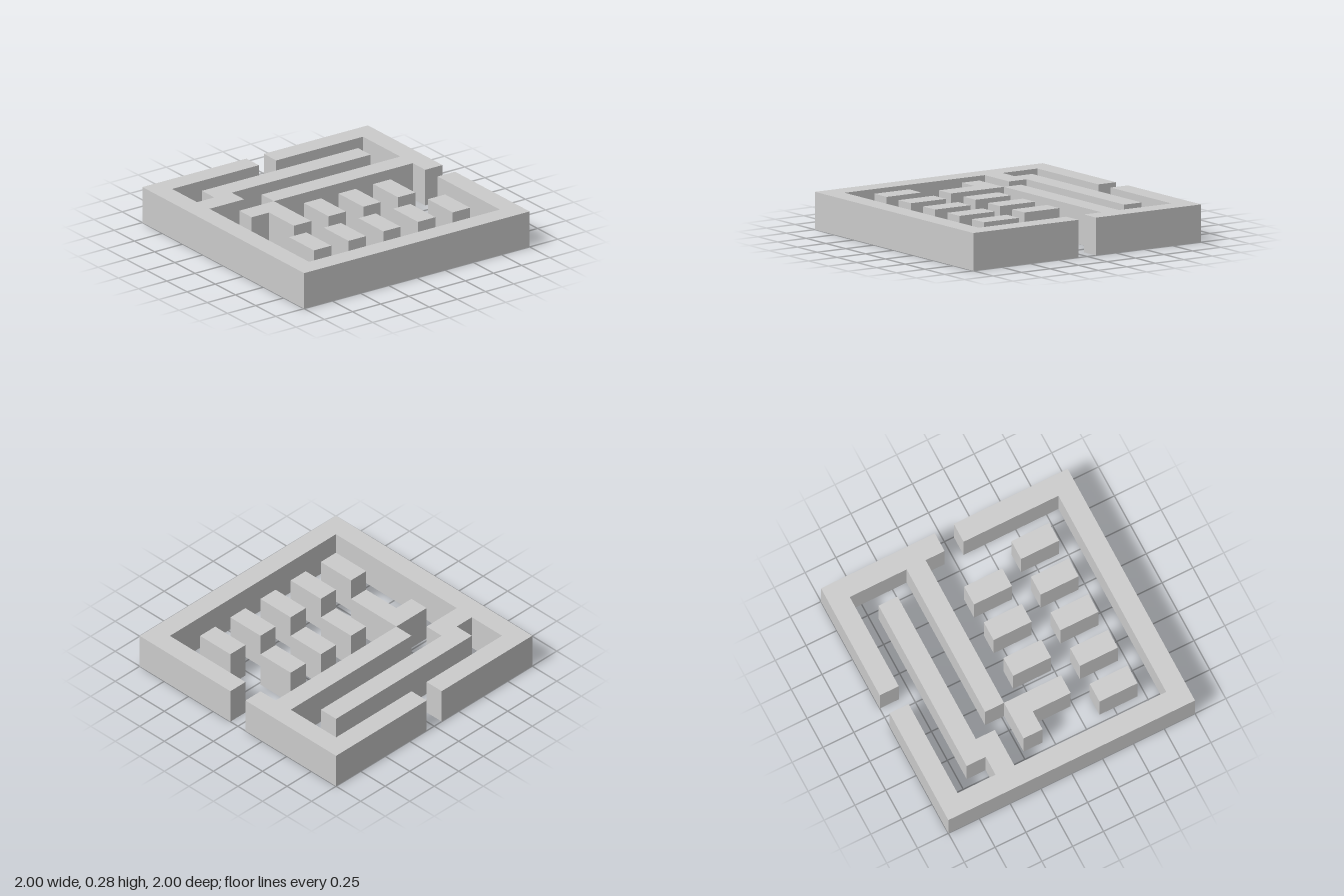
import * as THREE from 'three';
import { mergeGeometries } from 'three/addons/utils/BufferGeometryUtils.js';

// Floor plan, back row first: W outer wall, P partition, B free-standing block
const PLAN = [
  'WWWWWW.WWWWWW',
  'W...........W',
  'W.PPPPPPPPP.W',
  'WPP.........W',
  'W...PPPPPPPPW',
  'W.PP........W',
  'W..P.B.B.B...',
  'W..P.B.B.B..W',
  'W...........W',
  'W.B.B.B.B.B.W',
  'W.B.B.B.B.B.W',
  'W...........W',
  'WWWWWWWWWWWWW',
];
const N = PLAN.length;
const CELL = 2 / N;
const HEIGHT = CELL * 1.8;

const filled = (col, row) => (PLAN[row]?.[col] ?? '.') !== '.';

// One upright side of a cell, facing (dx, dz)
function side(x, z, dx, dz) {
  return new THREE.PlaneGeometry(CELL, HEIGHT)
    .rotateY(Math.atan2(dx, dz))
    .translate(x + dx * CELL / 2, HEIGHT / 2, z + dz * CELL / 2);
}

// Hollow cells, open underneath, with a single shared wall between neighbours
function buildPart(letter) {
  const faces = [];
  for (let row = 0; row < N; row++) {
    for (let col = 0; col < N; col++) {
      if (PLAN[row][col] !== letter) continue;
      const x = -1 + (col + 0.5) * CELL;
      const z = -1 + (row + 0.5) * CELL;
      faces.push(new THREE.PlaneGeometry(CELL, CELL).rotateX(-Math.PI / 2).translate(x, HEIGHT, z));
      faces.push(side(x, z, 1, 0), side(x, z, 0, 1));
      if (!filled(col - 1, row)) faces.push(side(x, z, -1, 0));
      if (!filled(col, row - 1)) faces.push(side(x, z, 0, -1));
    }
  }
  return mergeGeometries(faces);
}

export function createModel() {
  const group = new THREE.Group();
  group.name = 'mazeWalls';
  const material = new THREE.MeshStandardMaterial({
    color: 0xcccccc, flatShading: true, side: THREE.DoubleSide,
  });
  const parts = { W: 'outerWall', P: 'partitions', B: 'blocks' };
  for (const [letter, name] of Object.entries(parts)) {
    const mesh = new THREE.Mesh(buildPart(letter), material);
    mesh.name = name;
    group.add(mesh);
  }
  return group;
}
